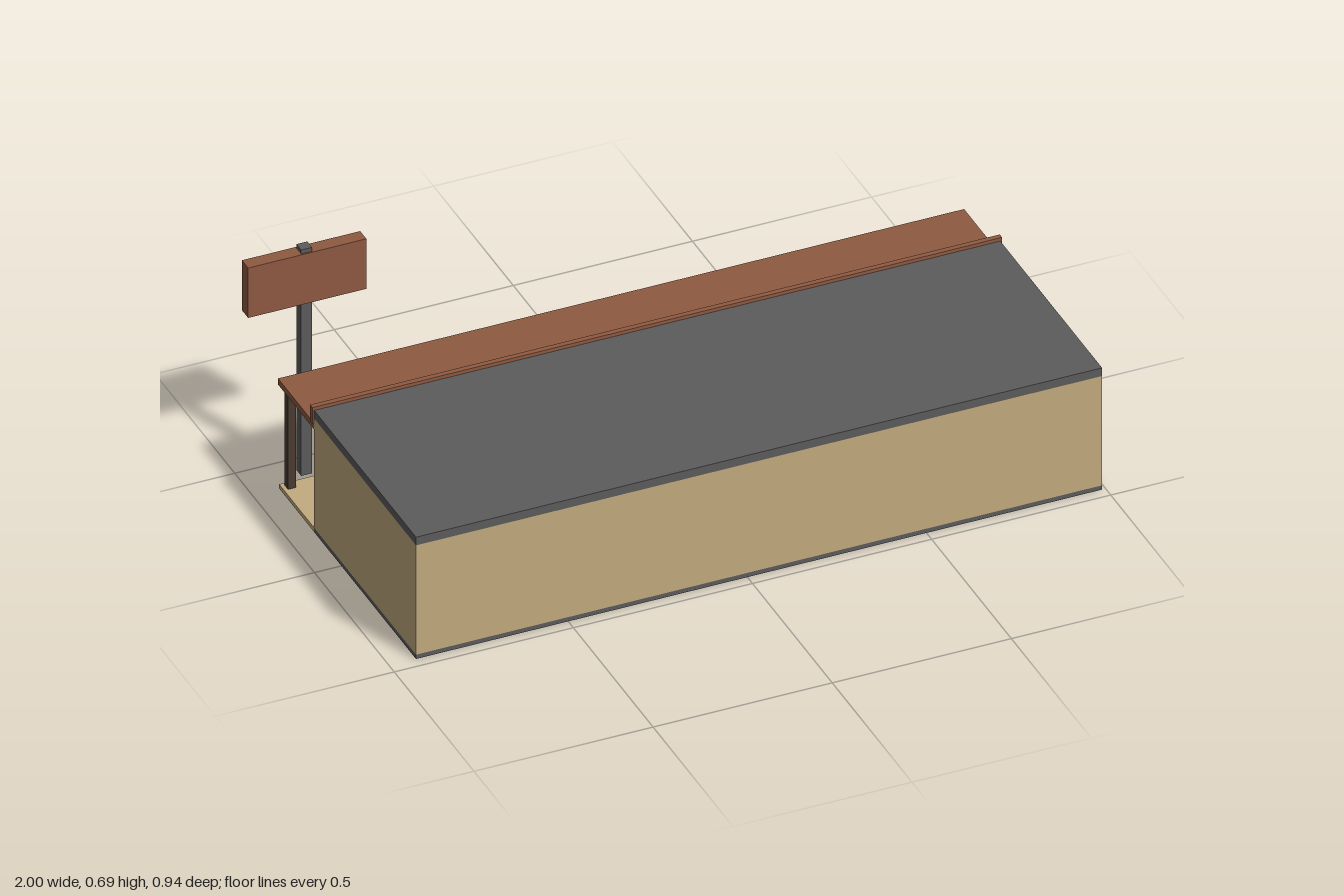
import * as THREE from 'three';

const paint = (name, color) => {
  const m = new THREE.MeshStandardMaterial({ color });
  m.name = name;
  return m;
};

export function createModel() {
  const model = new THREE.Group();
  model.name = 'roadsideLodge';
  const tan = paint('tanStucco', 0xc2ab7f);
  const rust = paint('rustBrown', 0x8f5a41);
  const grey = paint('slateGrey', 0x5c5c5c);
  const dark = paint('darkTimber', 0x4a3b32);

  // Box given by its limits on each axis
  const box = (name, mat, [x0, x1], [y0, y1], [z0, z1], parent = model) => {
    const mesh = new THREE.Mesh(new THREE.BoxGeometry(x1 - x0, y1 - y0, z1 - z0), mat);
    mesh.position.set((x0 + x1) / 2, (y0 + y1) / 2, (z0 + z1) / 2);
    mesh.name = name;
    parent.add(mesh);
    return mesh;
  };
  const group = (name) => {
    const g = new THREE.Group();
    g.name = name;
    model.add(g);
    return g;
  };

  // Main block
  const X = [-0.925, 0.99], wallZ = -0.172, Z = [wallZ, 0.468];
  box('plinth', grey, X, [0, 0.013], Z);
  box('walls', tan, X, [0.013, 0.348], Z);
  box('roof', grey, X, [0.348, 0.373], Z);

  // Porch
  box('porchFloor', tan, X, [0, 0.013], [-0.39, wallZ]);
  box('porchCanopy', rust, X, [0.314, 0.333], [-0.397, wallZ]);
  box('parapet', rust, [-0.93, 0.995], [0.333, 0.383], [-0.185, -0.17]);
  const bay = (X[1] - X[0]) / 5;
  for (let i = 0; i <= 5; i++) {
    const x = THREE.MathUtils.clamp(X[1] - i * bay, X[0] + 0.022, X[1] - 0.022);
    box('porchPost', dark, [x - 0.011, x + 0.011], [0.013, 0.314], [-0.381, -0.359]);
  }

  // Rectangular frame; the bottom bar is optional
  const frame = (name, [x0, x1], [y0, y1], t, z, parent, bottom) => {
    box(name + 'Side', dark, [x0, x0 + t], [y0, y1], z, parent);
    box(name + 'Side', dark, [x1 - t, x1], [y0, y1], z, parent);
    box(name + 'Head', dark, [x0 + t, x1 - t], [y1 - t, y1], z, parent);
    if (bottom) box(name + 'Foot', dark, [x0 + t, x1 - t], [y0, y0 + t], z, parent);
  };

  // One window and one door in each bay
  for (let i = 0; i < 5; i++) {
    const left = X[1] - i * bay;
    const win = group('window');
    const wx = [left - 0.138, left - 0.035];
    frame('windowFrame', wx, [0.125, 0.25], 0.014, [-0.18, wallZ], win, true);
    box('windowSill', dark, [wx[0] - 0.012, wx[1] + 0.012], [0.112, 0.125], [-0.182, wallZ], win);

    const door = group('door');
    const dx = [left - 0.31, left - 0.155];
    frame('doorFrame', dx, [0.013, 0.292], 0.014, [-0.181, wallZ], door, false);
    box('doorPanel', grey, [dx[0] + 0.014, dx[1] - 0.014], [0.013, 0.278], [-0.177, wallZ], door);
    box('doorKnob', dark, [dx[1] - 0.034, dx[1] - 0.025], [0.12, 0.129], [-0.186, -0.177], door);
  }

  // Roadside sign
  const sign = group('sign');
  box('signPole', grey, [-0.85, -0.82], [0, 0.692], [-0.45, -0.42], sign);
  box('signBoard', rust, [-1, -0.67], [0.527, 0.68], [-0.455, -0.416], sign);
  box('signFace', tan, [-0.988, -0.682], [0.538, 0.669], [-0.46, -0.455], sign);
  for (let i = 0; i < 5; i++) {
    const x = -0.835 + (i - 2) * 0.061;
    box('signPanel', rust, [x - 0.019, x + 0.019], [0.57, 0.636], [-0.467, -0.46], sign);
  }
  return model;
}
